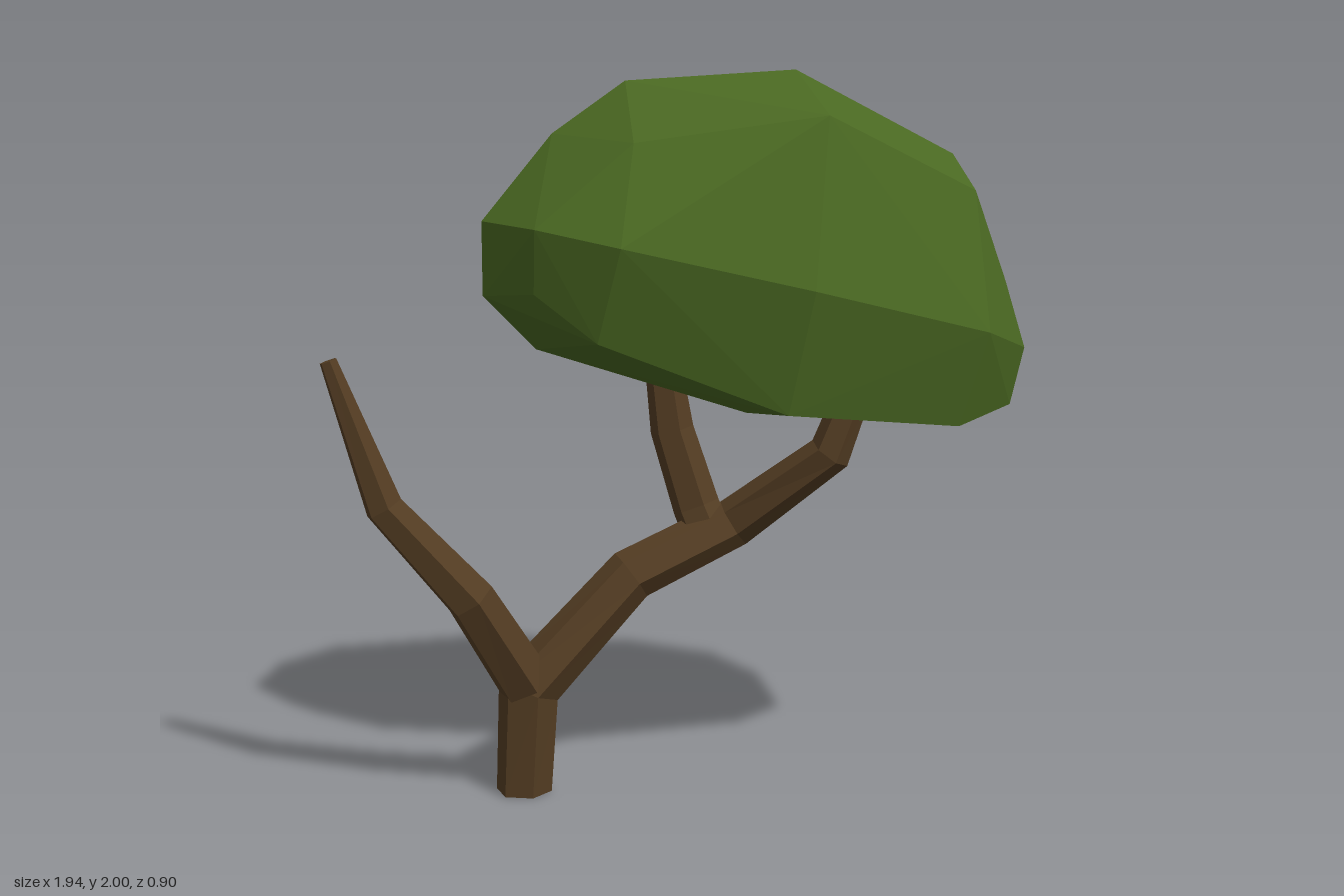
import * as THREE from 'three';
import { ConvexGeometry } from 'three/addons/geometries/ConvexGeometry.js';

const bark = new THREE.MeshStandardMaterial({ color: 0x543d23, flatShading: true });
bark.name = 'bark brown';
const leaf = new THREE.MeshStandardMaterial({ color: 0x4a6822, flatShading: true });
leaf.name = 'leaf green';

// Tapered six-sided limb through stations [x, y, z, radius]
function limb(name, stations, sides = 6) {
  const pts = stations.map(s => new THREE.Vector3(s[0], s[1], s[2]));
  const last = pts.length - 1;
  const pos = [], idx = [];
  pts.forEach((p, i) => {
    const tangent = new THREE.Vector3();
    if (i > 0) tangent.add(p.clone().sub(pts[i - 1]).normalize());
    if (i < last) tangent.add(pts[i + 1].clone().sub(p).normalize());
    tangent.normalize();
    const side = new THREE.Vector3(0, 0, 1).addScaledVector(tangent, -tangent.z).normalize();
    const other = tangent.clone().cross(side);
    for (let j = 0; j < sides; j++) {
      const a = (j / sides) * Math.PI * 2 + 0.2, r = stations[i][3];
      const v = p.clone().addScaledVector(side, Math.cos(a) * r).addScaledVector(other, Math.sin(a) * r);
      if (i === 0 && p.y === 0) v.y = 0;
      pos.push(v.x, v.y, v.z);
    }
  });
  // Walls between rings, then both end caps
  for (let i = 0; i < last; i++) {
    for (let j = 0; j < sides; j++) {
      const k = (j + 1) % sides, lo = i * sides, hi = lo + sides;
      idx.push(lo + j, lo + k, hi + k, lo + j, hi + k, hi + j);
    }
  }
  for (let j = 1; j < sides - 1; j++) {
    const e = last * sides;
    idx.push(0, j + 1, j, e, e + j, e + j + 1);
  }
  const indexed = new THREE.BufferGeometry();
  indexed.setAttribute('position', new THREE.Float32BufferAttribute(pos, 3));
  indexed.setIndex(idx);
  const geo = indexed.toNonIndexed();
  geo.computeVertexNormals();
  const mesh = new THREE.Mesh(geo, bark);
  mesh.name = name;
  return mesh;
}

// Faceted crown: lengthwise rows of corner points, wrapped in a convex hull
function crown() {
  const rows = [
    // ridge and far end
    [[-0.535, 1.6, 0], [-0.34, 1.83, -0.03], [-0.14, 1.97, -0.03], [0.33, 2.0, -0.02],
      [0.79, 1.77, -0.04], [0.93, 1.48, -0.06], [0.97, 1.23, -0.1]],
    // front shoulder
    [[-0.16, 1.81, 0.22], [0.34, 1.88, 0.3], [0.77, 1.68, 0.215], [0.88, 1.43, 0.165]],
    // front widest line
    [[-0.42, 1.59, 0.22], [-0.22, 1.55, 0.375], [0.27, 1.44, 0.447], [0.78, 1.31, 0.33], [0.93, 1.25, 0.19]],
    // front lower edge
    [[-0.42, 1.42, 0.19], [-0.27, 1.3, 0.3], [0.22, 1.11, 0.37], [0.72, 1.05, 0.27], [0.9, 1.09, 0.17]],
    // underside
    [[-0.535, 1.4, 0], [-0.39, 1.25, -0.02], [0.2, 1.055, -0.03], [0.73, 1.01, -0.08], [0.91, 1.08, -0.1]],
    // back lower edge
    [[-0.42, 1.42, -0.2], [-0.26, 1.29, -0.3], [0.22, 1.1, -0.38], [0.72, 1.05, -0.345]],
    // back widest line
    [[-0.46, 1.6, -0.24], [-0.26, 1.56, -0.385], [0.23, 1.47, -0.45], [0.72, 1.29, -0.44], [0.88, 1.25, -0.345]],
    // back shoulder
    [[-0.18, 1.81, -0.26], [0.33, 1.82, -0.31], [0.76, 1.59, -0.315], [0.88, 1.4, -0.28]],
  ];
  const mesh = new THREE.Mesh(new ConvexGeometry(rows.flat().map(p => new THREE.Vector3(...p))), leaf);
  mesh.name = 'crown';
  return mesh;
}

export function createModel() {
  const tree = new THREE.Group();
  tree.name = 'tree';
  tree.add(
    limb('trunkAndMainBranch', [
      [-0.44, 0, -0.015, 0.079], [-0.425, 0.3, -0.012, 0.09], [-0.13, 0.605, -0.03, 0.075],
      [0.17, 0.735, -0.06, 0.07], [0.41, 0.955, 0.09, 0.06], [0.47, 1.12, 0.1, 0.05],
    ]),
    limb('bareBranch', [
      [-0.435, 0.32, 0.0, 0.08], [-0.59, 0.59, 0.09, 0.07],
      [-0.815, 0.85, 0.09, 0.054], [-0.95, 1.245, 0.075, 0.024],
    ]),
    limb('upperBranch', [
      [0.1, 0.7, -0.07, 0.07], [0.07, 0.78, -0.095, 0.068], [0.005, 1.0, -0.12, 0.062], [-0.025, 1.22, -0.12, 0.05],
    ]),
    crown(),
  );
  return tree;
}
